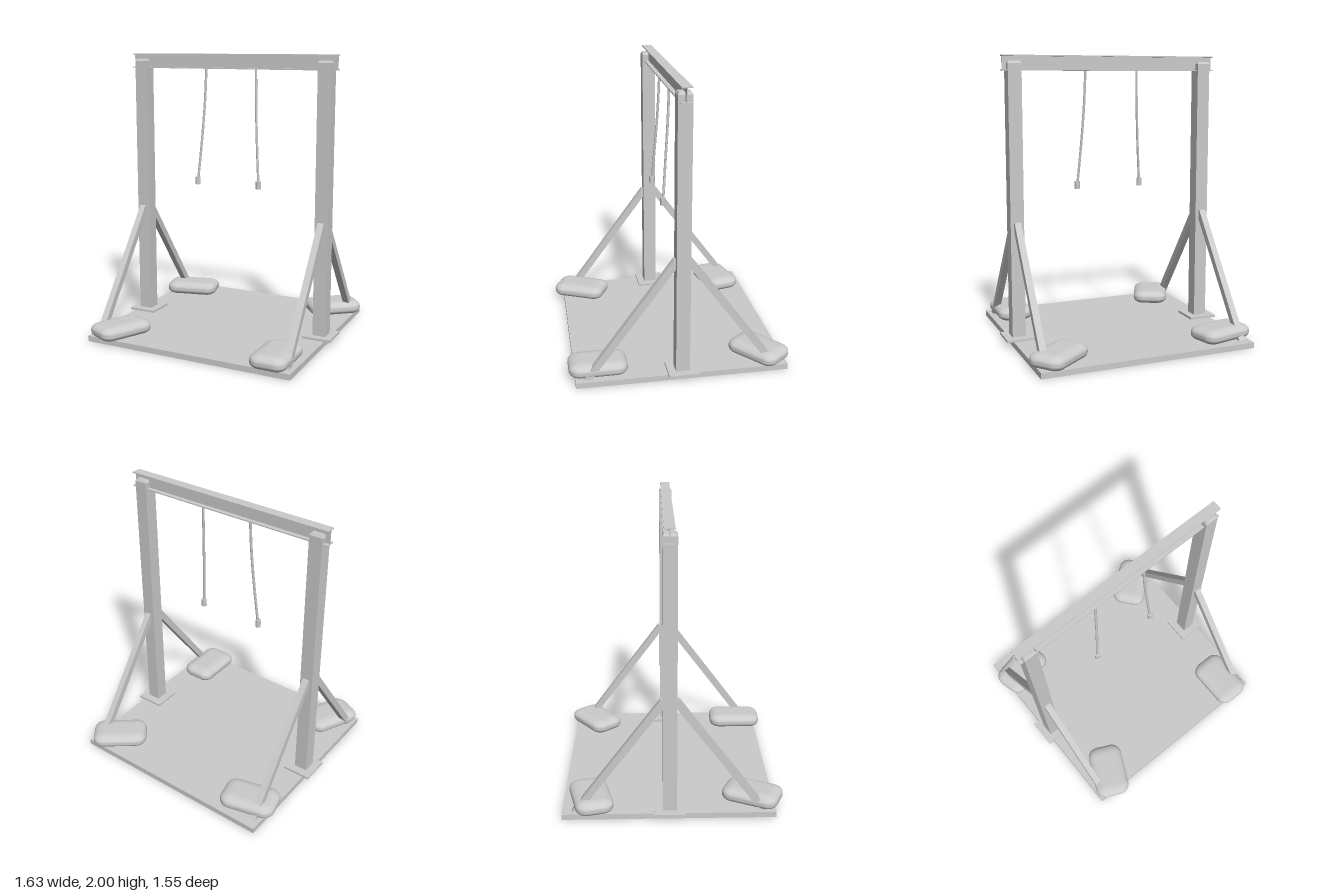
import * as THREE from 'three';
import { RoundedBoxGeometry } from 'three/addons/geometries/RoundedBoxGeometry.js';

const CZ = -0.012; // depth of the frame's centre plane
const FLOOR = 0.04;

export function createModel() {
  const model = new THREE.Group();
  const grey = new THREE.MeshStandardMaterial({ color: 0xcccccc });

  const add = (name, geometry, x = 0, y = 0, z = 0, ry = 0) => {
    const mesh = new THREE.Mesh(geometry, grey);
    mesh.name = name;
    mesh.position.set(x, y, z);
    mesh.rotation.y = ry;
    model.add(mesh);
    return mesh;
  };
  const box = (name, w, h, d, x, y, z) => add(name, new THREE.BoxGeometry(w, h, d), x, y, z);

  // Base platform
  box('basePlatform', 1.535, FLOOR, 1.455, 0, FLOOR / 2, -0.0175);

  // I-section cross beam, extruded along x
  const h = 0.0525, w = 0.035, t = 0.008, web = 0.004;
  const section = new THREE.Shape([
    [-w, -h], [w, -h], [w, -h + t], [web, -h + t], [web, h - t], [w, h - t],
    [w, h], [-w, h], [-w, h - t], [-web, h - t], [-web, -h + t], [-w, -h + t],
  ].map(([x, y]) => new THREE.Vector2(x, y)));
  const beam = new THREE.ExtrudeGeometry(section, { depth: 1.58, bevelEnabled: false });
  beam.translate(0, 0, -0.79).rotateY(Math.PI / 2);
  add('crossBeam', beam, 0, 2 - h, -0.015);

  // Diagonal brace profile: x is the distance out from the post centre
  const braceShape = new THREE.Shape([
    [0.04, 0.81], [0.61, FLOOR], [0.668, FLOOR], [0.06, 0.866], [0.04, 0.866],
  ].map(([x, y]) => new THREE.Vector2(x, y)));
  const brace = new THREE.ExtrudeGeometry(braceShape, { depth: 0.046, bevelEnabled: false });
  brace.translate(0, 0, -0.023).rotateY(-Math.PI / 2);

  // Tapered post cap
  const cap = new THREE.CylinderGeometry(0.038 * Math.SQRT2, 0.0475 * Math.SQRT2, 0.016, 4, 1)
    .rotateY(Math.PI / 4).toNonIndexed();
  cap.computeVertexNormals();

  for (const [side, s] of [['left', 1], ['right', -1]]) {
    // Post with foot plate, cap and two braces
    box(side + 'FootPlate', 0.205, 0.016, 0.208, s * 0.71, FLOOR + 0.008, -0.015);
    box(side + 'Post', 0.095, 1.905, 0.095, s * 0.712, FLOOR + 1.905 / 2, CZ);
    add(side + 'PostCap', cap, s * 0.712, 1.953, CZ);
    add(side + 'FrontBrace', brace, s * 0.712, 0, CZ);
    add(side + 'BackBrace', brace, s * 0.712, 0, CZ, Math.PI);

    // Hanging rope with a weighted end
    const path = new THREE.CatmullRomCurve3([
      new THREE.Vector3(s * 0.194, 1.9, -0.015),
      new THREE.Vector3(s * 0.202, 1.65, -0.004),
      new THREE.Vector3(s * 0.218, 1.38, 0.014),
      new THREE.Vector3(s * 0.24, 1.1, 0.034),
    ]);
    add(side + 'Rope', new THREE.TubeGeometry(path, 16, 0.009, 8), 0, 0, 0);
    add(side + 'RopeEnd', new THREE.CylinderGeometry(0.019, 0.019, 0.054, 16), s * 0.241, 1.092, 0.036);
  }

  // Sandbags: rounded boxes squashed flat so the corners become pillowy
  const bag = new RoundedBoxGeometry(0.4, 0.18, 0.262, 6, 0.078);
  bag.scale(1, 0.56, 1);
  [
    ['frontLeftSandbag', 0.606, 0.55, Math.PI / 2],
    ['frontRightSandbag', -0.585, 0.565, 1.13],
    ['backLeftSandbag', 0.597, -0.583, 0.67],
    ['backRightSandbag', -0.607, -0.553, 0.24],
  ].forEach(([name, x, z, ry]) => add(name, bag, x, 0.082, z, ry));

  return model;
}
